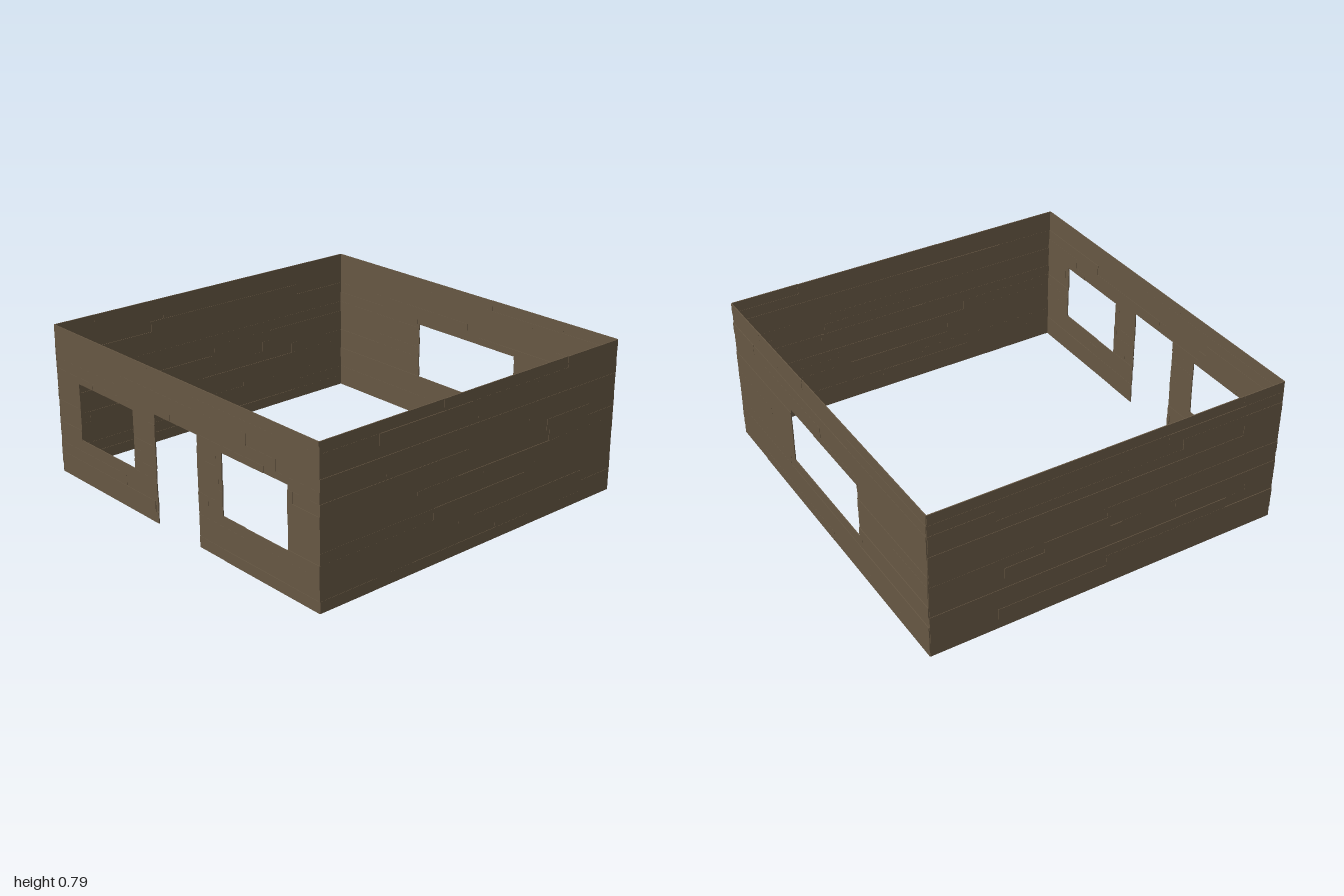
import * as THREE from 'three';

const ROWS = 14, HEIGHT = 0.79, PITCH = HEIGHT / ROWS, THICK = 0.005;

// Small seeded generator for board lengths and offsets
function seeded(seed) {
  let s = seed;
  return () => (s = (s * 16807) % 2147483647) / 2147483647;
}

// Cut one rectangular opening out of a rectangle [x0, y0, x1, y1]
function cut([x0, y0, x1, y1], [a0, b0, a1, b1]) {
  if (a0 >= x1 || a1 <= x0 || b0 >= y1 || b1 <= y0) return [[x0, y0, x1, y1]];
  const lo = Math.max(y0, b0), hi = Math.min(y1, b1);
  return [
    [x0, y0, x1, lo], [x0, hi, x1, y1],
    [x0, lo, a0, hi], [a1, lo, x1, hi],
  ].filter(([p, q, r, t]) => r - p > 1e-4 && t - q > 1e-4);
}

// A wall of staggered boards lying in its local xy plane
function plankWall(name, halfWidth, openings, seed, material) {
  const wall = new THREE.Group();
  wall.name = name;
  const rand = seeded(seed);
  for (let row = 0; row < ROWS; row++) {
    let x = -halfWidth;
    while (x < halfWidth - 1e-4) {
      let end = x + 0.3 + rand() * 0.7;
      if (end > halfWidth - 0.15) end = halfWidth;
      const depth = (rand() - 0.5) * 0.004;
      let pieces = [[x, row * PITCH, end, (row + 1) * PITCH]];
      for (const opening of openings) pieces = pieces.flatMap((p) => cut(p, opening));
      for (const [x0, y0, x1, y1] of pieces) {
        const board = new THREE.Mesh(new THREE.BoxGeometry(x1 - x0, y1 - y0, THICK), material);
        board.name = 'board';
        board.position.set((x0 + x1) / 2, (y0 + y1) / 2, depth);
        wall.add(board);
      }
      x = end;
    }
  }
  return wall;
}

export function createModel() {
  const model = new THREE.Group();
  model.name = 'plankHouseWalls';
  const wood = new THREE.MeshStandardMaterial({ color: 0x665743 });
  wood.name = 'brown wood';

  // Front: doorway between two windows
  const front = plankWall('frontWall', 0.995, [
    [-0.165, -0.01, 0.16, 0.56],
    [-0.8, 0.23, -0.342, 0.53],
    [0.34, 0.22, 0.79, 0.53],
  ], 1234567, wood);
  front.position.z = 0.95;

  // Back: one wide window
  const back = plankWall('backWall', 0.995, [[-0.348, 0.225, 0.345, 0.527]], 7654321, wood);
  back.position.z = -0.953;

  // Solid side walls
  const sides = [1, -1].map((side) => {
    const wall = plankWall(side > 0 ? 'leftWall' : 'rightWall', 0.952, [], 4242424 + side * 999331, wood);
    wall.rotation.y = side * Math.PI / 2;
    wall.position.x = side * 0.995;
    return wall;
  });

  model.add(front, back, ...sides);
  return model;
}
